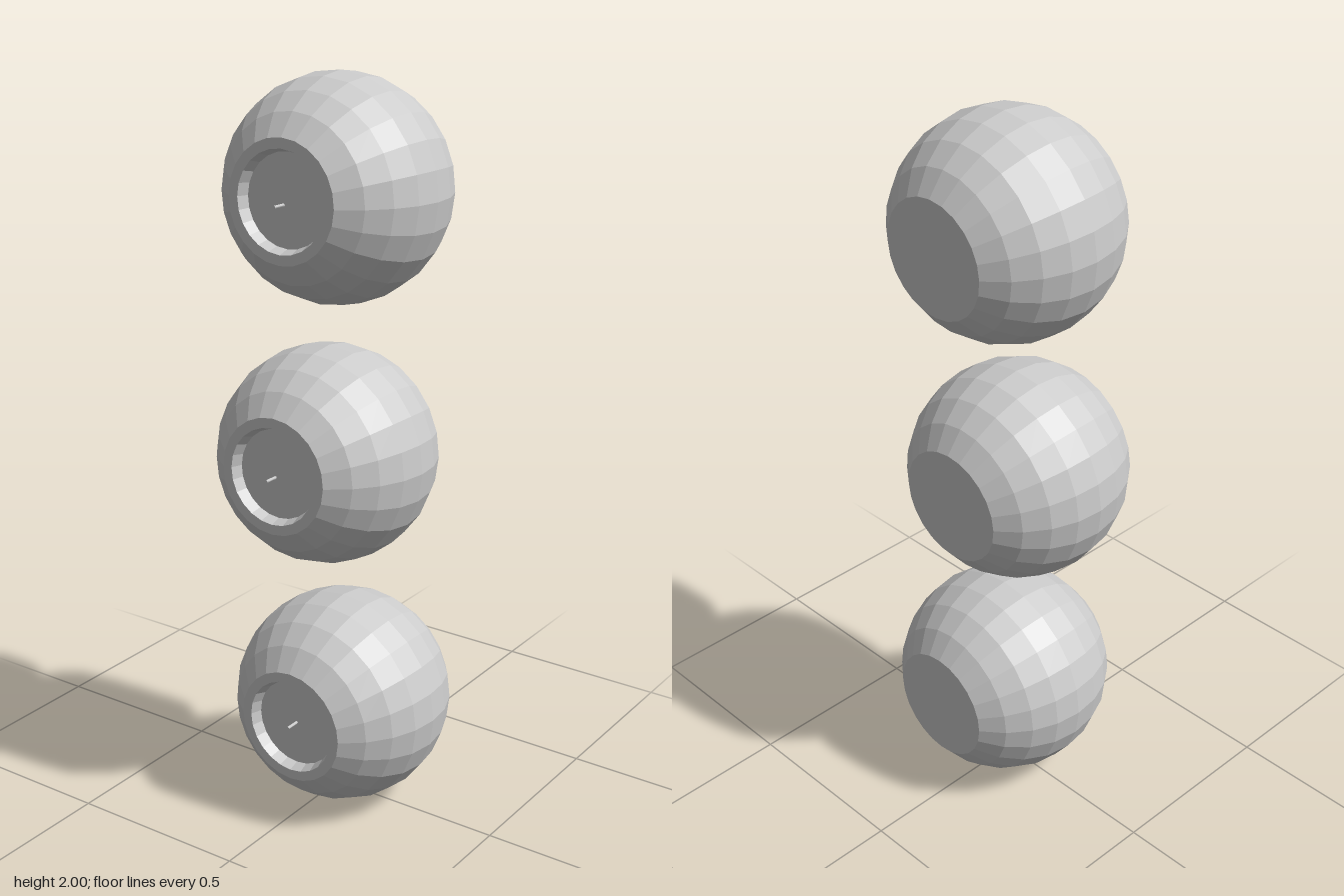
import * as THREE from 'three';

const R = 0.296;      // ball radius
const HALF = 0.251;   // distance from centre to each flat face
const FLOOR = 0.22;   // depth position of the recess floor
const SIDES = 24;

// Faceted ball with a flat back and a dished front, turned around z
function ballGeometry() {
  const limit = Math.asin(HALF / R);
  const profile = [new THREE.Vector2(0, -HALF)];
  for (let i = -4; i <= 4; i++) {
    const a = (limit * i) / 4;
    profile.push(new THREE.Vector2(R * Math.cos(a), R * Math.sin(a)));
  }
  // rim, recess wall and recess floor
  profile.push(
    new THREE.Vector2(0.13, HALF),
    new THREE.Vector2(0.12, FLOOR),
    new THREE.Vector2(0, FLOOR)
  );
  return new THREE.LatheGeometry(profile, SIDES).rotateX(Math.PI / 2);
}

export function createModel() {
  const group = new THREE.Group();
  group.name = 'ballStack';
  const material = new THREE.MeshStandardMaterial({ color: 0xcccccc, flatShading: true });
  const ballGeo = ballGeometry();
  const pinGeo = new THREE.CylinderGeometry(0.004, 0.004, 0.042, 8).rotateX(Math.PI / 2);

  // Each ball sits slightly off axis; the upper two are tilted a little
  const balls = [
    { name: 'bottomBall', at: [0.022, R, 0.006], pitch: 0, yaw: 0, pin: 0 },
    { name: 'middleBall', at: [-0.025, 0.997, 0.013], pitch: -0.03, yaw: 0.0165, pin: -0.012 },
    { name: 'topBall', at: [-0.007, 2 - R, -0.01], pitch: -0.033, yaw: 0.0165, pin: -0.012 },
  ];
  for (const { name, at, pitch, yaw, pin } of balls) {
    const part = new THREE.Group();
    part.name = name;
    part.position.set(...at);
    part.rotation.set(pitch, yaw, 0);

    const shell = new THREE.Mesh(ballGeo, material);
    shell.name = 'shell';
    // Small pin in the middle of the recess
    const needle = new THREE.Mesh(pinGeo, material);
    needle.name = 'centrePin';
    needle.position.set(pin, pin, FLOOR + 0.019);

    part.add(shell, needle);
    group.add(part);
  }
  return group;
}
